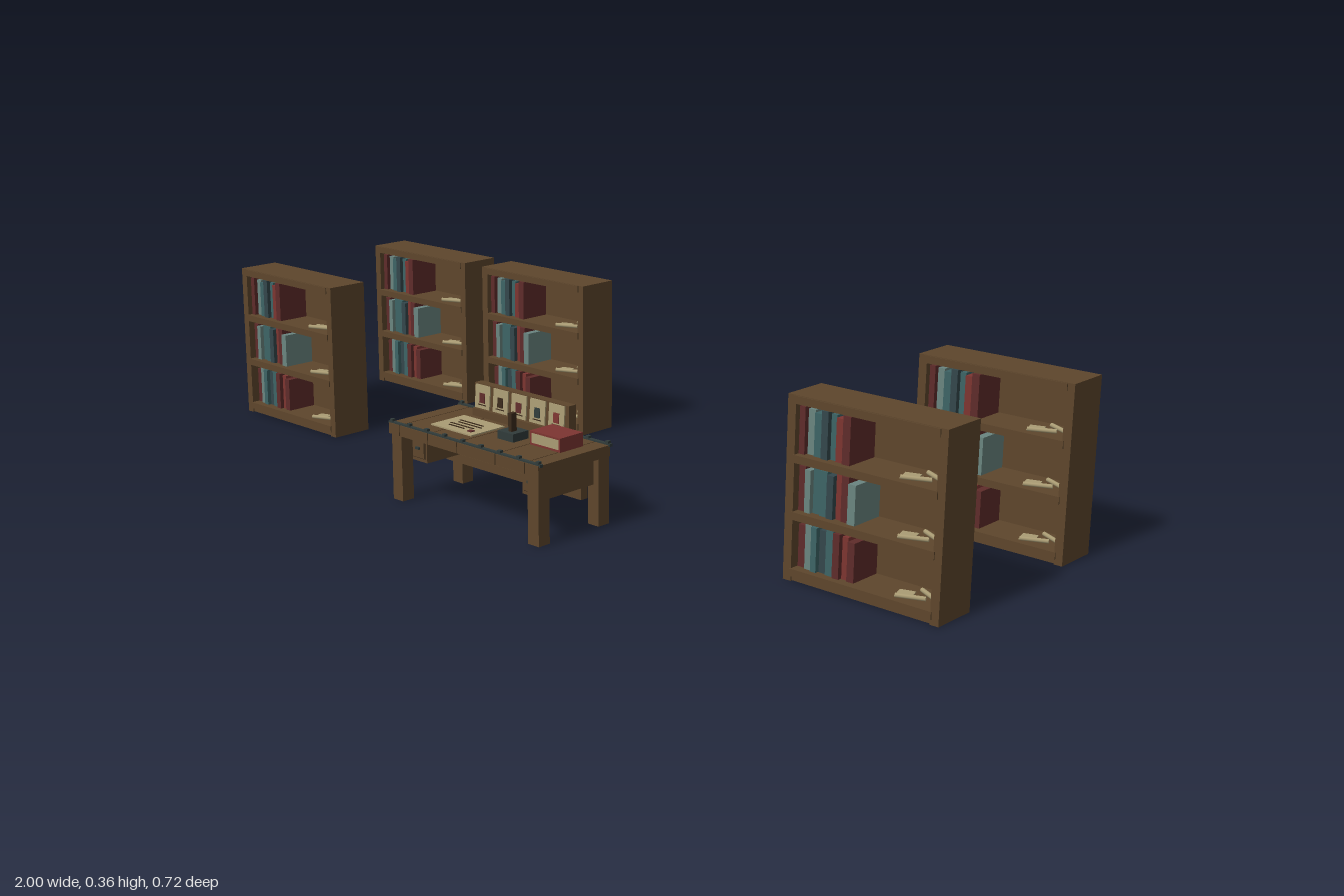
import * as THREE from 'three';

const mat = (name, color) => {
  const m = new THREE.MeshStandardMaterial({ color });
  m.name = name;
  return m;
};

export function createModel() {
  const wood = mat('wood', 0x5e462c);
  const darkWood = mat('dark wood', 0x3a2a1b);
  const iron = mat('dark iron', 0x303b3a);
  const cream = mat('parchment', 0xaa9c74);
  const red = mat('red cover', 0x7d3531);
  const maroon = mat('maroon cover', 0x5f2c2a);
  const teal = mat('teal cover', 0x3d6466);
  const pale = mat('pale blue cover', 0x6a8580);
  const navy = mat('dark blue cover', 0x34474c);

  const model = new THREE.Group();
  model.name = 'study';

  // Box given by its lower and upper limits on each axis
  const box = (parent, name, m, x0, x1, y0, y1, z0, z1) => {
    const mesh = new THREE.Mesh(new THREE.BoxGeometry(x1 - x0, y1 - y0, z1 - z0), m);
    mesh.position.set((x0 + x1) / 2, (y0 + y1) / 2, (z0 + z1) / 2);
    mesh.name = name;
    parent.add(mesh);
    return mesh;
  };

  const shelfY = [0.01, 0.12, 0.229, 0.34];
  const bookRows = [
    [maroon, pale, teal, navy, teal, maroon, red, maroon],
    [maroon, pale, teal, teal, navy, red, maroon, pale],
    [maroon, pale, teal, navy, teal, red, maroon],
  ];

  // Bookcase standing at (x, z)
  function makeBookcase(x, z) {
    const g = new THREE.Group();
    g.name = 'bookcase';
    g.position.set(x, 0, z);
    for (const s of [-1, 1]) {
      const side = box(g, 'sidePanel', wood, -0.009, 0.009, 0, 0.356, -0.049, 0.049);
      side.position.x = s * 0.161;
    }
    box(g, 'topPanel', wood, -0.152, 0.152, 0.346, 0.356, -0.049, 0.049);
    // Back boards with narrow dark seams between them
    box(g, 'backSeams', darkWood, -0.152, 0.152, 0.005, 0.35, -0.046, -0.043);
    for (let i = 0; i < 3; i++) {
      box(g, 'backBoard', wood, -0.152, 0.152, shelfY[i] + 0.002, shelfY[i + 1] - 0.001, -0.048, -0.039);
    }
    shelfY.forEach((y) => box(g, 'shelf', wood, -0.155, 0.155, y, y + 0.015, -0.0515, 0.0515));
    box(g, 'plinth', wood, -0.152, 0.152, 0.001, 0.011, -0.046, 0.046);

    bookRows.forEach((row, r) => {
      const y = shelfY[r] + 0.015;
      // Upright books
      let bx = -0.151;
      row.forEach((m, i) => {
        const w = [0.018, 0.016, 0.014, 0.017][(i + r) % 4];
        const h = i === 7 ? 0.076 : 0.086 + 0.004 * ((i * 2 + r) % 3) - 0.004;
        box(g, 'book', m, bx, bx + w - 0.0015, y, y + h, -0.038, 0.03 + 0.004 * ((i + r) % 3));
        bx += w;
      });
      // Loose scrolls and sheets
      for (let k = 0; k < 2; k++) {
        const scroll = new THREE.Mesh(new THREE.CylinderGeometry(0.0045, 0.0045, 0.055, 8), cream);
        scroll.name = 'scroll';
        scroll.rotation.set(0, k ? -0.5 : 0.4, Math.PI / 2);
        scroll.position.set(0.095 + 0.02 * k, y + 0.0045, 0.026 - 0.03 * k);
        g.add(scroll);
      }
      const sheet = box(g, 'looseSheet', cream, 0.06, 0.09, y, y + 0.002, -0.005, 0.03);
      sheet.rotation.y = 0.3;
    });
    model.add(g);
  }
  [[-0.83, -0.308], [-0.428, -0.308], [0.83, -0.308], [-0.83, 0.107], [0.83, 0.107]]
    .forEach(([x, z]) => makeBookcase(x, z));

  // Desk
  const desk = new THREE.Group();
  desk.name = 'desk';
  desk.position.x = -0.002;
  model.add(desk);

  const seams = [-0.222, -0.188, -0.1, -0.012, 0.1, 0.183, 0.222];
  for (let i = 0; i < seams.length - 1; i++) {
    box(desk, 'topPlank', wood, seams[i] + 0.001, seams[i + 1] - 0.001, 0.143, 0.166, 0.156, 0.356);
  }
  box(desk, 'plankSeams', darkWood, -0.22, 0.22, 0.146, 0.162, 0.16, 0.352);

  // Metal edging along the front and back, with studs at the ends
  for (const z of [0.156, 0.35]) {
    box(desk, 'edgeTrim', iron, -0.224, 0.224, 0.163, 0.169, z - 0.004, z + 0.004);
    for (let i = 0; i < 9; i++) {
      const x = -0.216 + 0.054 * i;
      box(desk, 'stud', iron, x - 0.004, x + 0.004, 0.167, 0.174, z - 0.004, z + 0.004);
    }
  }

  for (const s of [-1, 1]) {
    for (const z of [0.169, 0.337]) {
      const leg = box(desk, 'leg', wood, -0.015, 0.015, 0, 0.144, z - 0.015, z + 0.015);
      leg.position.x = s * 0.202;
    }
    // Drawer case under each end
    const drawer = new THREE.Group();
    drawer.name = 'drawer';
    drawer.position.x = s * 0.166;
    desk.add(drawer);
    box(drawer, 'drawerCase', wood, -0.024, 0.024, 0.086, 0.144, 0.184, 0.322);
    box(drawer, 'drawerOutline', darkWood, -0.019, 0.019, 0.093, 0.138, 0.322, 0.323);
    box(drawer, 'drawerFront', wood, -0.017, 0.017, 0.095, 0.136, 0.322, 0.325);
    box(drawer, 'drawerPull', iron, -0.006, 0.006, 0.113, 0.118, 0.325, 0.329);
    const apron = box(desk, 'sideApron', wood, -0.008, 0.008, 0.086, 0.144, 0.184, 0.322);
    apron.position.x = s * 0.195;
    const rail = box(desk, 'sideRail', wood, -0.008, 0.008, 0.06, 0.09, 0.198, 0.217);
    rail.position.x = s * 0.192;
  }
  box(desk, 'stretcher', wood, -0.2, 0.2, 0.06, 0.079, 0.198, 0.217);

  // Card rack at the back of the desk
  box(desk, 'rackBoard', wood, -0.138, 0.138, 0.166, 0.236, 0.168, 0.188);
  box(desk, 'rackLedge', wood, -0.138, 0.138, 0.166, 0.182, 0.188, 0.197);
  for (let i = 0; i < 5; i++) {
    const card = new THREE.Group();
    card.name = 'card';
    card.position.set(-0.109 + 0.0545 * i, 0.21, 0.193);
    card.rotation.x = -0.08;
    desk.add(card);
    box(card, 'cardSheet', cream, -0.022, 0.022, -0.025, 0.025, -0.0015, 0.0015);
    const mark = [maroon, darkWood, maroon, iron, red][i];
    box(card, 'cardMark', mark, -0.008, 0.008, -0.013, 0.008, 0.0015, 0.0025);
    box(card, 'cardLine', darkWood, -0.012, 0.012, -0.018, -0.016, 0.0015, 0.0025);
  }

  // Written sheet lying on the desk
  box(desk, 'letter', cream, -0.143, -0.02, 0.166, 0.169, 0.216, 0.308);
  [[-0.12, -0.05, 0.246], [-0.112, -0.042, 0.258], [-0.12, -0.05, 0.272], [-0.112, -0.066, 0.284]]
    .forEach(([x0, x1, z]) => box(desk, 'writtenLine', darkWood, x0, x1, 0.169, 0.17, z, z + 0.004));
  box(desk, 'letterSeal', maroon, -0.048, -0.036, 0.169, 0.171, 0.284, 0.295);

  // Ink block with its pen
  box(desk, 'inkBlock', iron, 0.026, 0.071, 0.166, 0.183, 0.236, 0.279);
  box(desk, 'pen', darkWood, 0.046, 0.056, 0.183, 0.221, 0.254, 0.268);

  // Thick red book with its pages toward the front
  box(desk, 'lowerCover', red, 0.103, 0.188, 0.166, 0.17, 0.199, 0.263);
  box(desk, 'pages', cream, 0.106, 0.183, 0.17, 0.191, 0.203, 0.262);
  box(desk, 'upperCover', red, 0.103, 0.188, 0.191, 0.195, 0.199, 0.263);
  box(desk, 'spine', red, 0.183, 0.188, 0.17, 0.191, 0.199, 0.263);
  box(desk, 'spine', red, 0.103, 0.107, 0.17, 0.191, 0.199, 0.263);

  return model;
}
